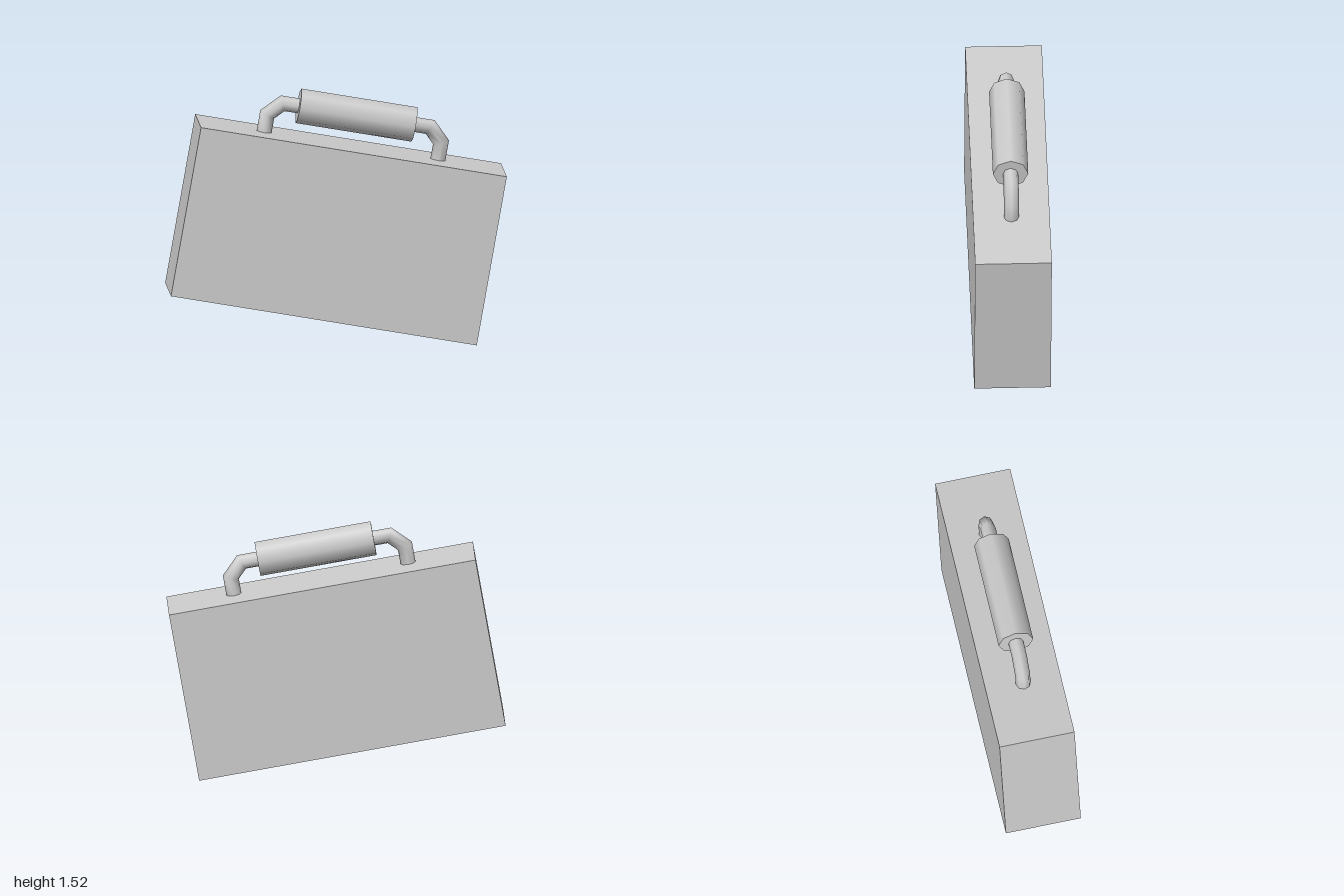
import * as THREE from 'three';

// Eight-sided pipe swept along a planar path, with mitred rings at the bends
function mitredPipe(path, radius, sides) {
  const positions = [], index = [];
  path.forEach((p, i) => {
    const before = path[Math.max(i - 1, 0)], after = path[Math.min(i + 1, path.length - 1)];
    const dirIn = (i ? p.clone().sub(before) : after.clone().sub(p)).normalize();
    const dirOut = (i < path.length - 1 ? after.clone().sub(p) : dirIn.clone()).normalize();
    const tangent = dirIn.clone().add(dirOut).normalize();
    const stretch = radius / tangent.dot(dirIn);
    for (let s = 0; s < sides; s++) {
      const a = (s / sides) * Math.PI * 2;
      const across = Math.cos(a) * stretch;
      positions.push(p.x - tangent.y * across, p.y + tangent.x * across, Math.sin(a) * radius);
      if (i) {
        const n = (s + 1) % sides, a0 = (i - 1) * sides, b0 = i * sides;
        index.push(a0 + s, a0 + n, b0 + s, a0 + n, b0 + n, b0 + s);
      }
    }
  });
  const geometry = new THREE.BufferGeometry();
  geometry.setAttribute('position', new THREE.Float32BufferAttribute(positions, 3));
  geometry.setIndex(index);
  geometry.computeVertexNormals();
  return geometry;
}

export function createModel() {
  const model = new THREE.Group();
  model.name = 'briefcase';
  const grey = new THREE.MeshStandardMaterial({ color: 0xcccccc });
  grey.name = 'grey';

  const add = (name, geometry) => {
    const mesh = new THREE.Mesh(geometry, grey);
    mesh.name = name;
    model.add(mesh);
    return mesh;
  };

  // Case body
  add('caseBody', new THREE.BoxGeometry(1.848, 1.03, 0.455));

  // Bent handle rod, from one foot through the grip to the other
  const half = [[-0.525, 0.512], [-0.525, 0.62], [-0.446, 0.7]];
  const path = [...half, ...half.map(([x, y]) => [-x, y]).reverse()]
    .map(([x, y]) => new THREE.Vector2(x, y));
  add('handleRod', mitredPipe(path, 0.045, 8));

  // Thick octagonal grip
  const grip = add('handleGrip', new THREE.CylinderGeometry(0.105, 0.105, 0.7, 8));
  grip.rotation.z = Math.PI / 2;
  grip.position.y = 0.7;

  // The whole case hangs tilted, resting on its lower corner
  model.rotation.z = -THREE.MathUtils.degToRad(10);
  model.position.y = 0.668;
  const root = new THREE.Group();
  root.name = 'tiltedBriefcase';
  root.add(model);
  return root;
}
